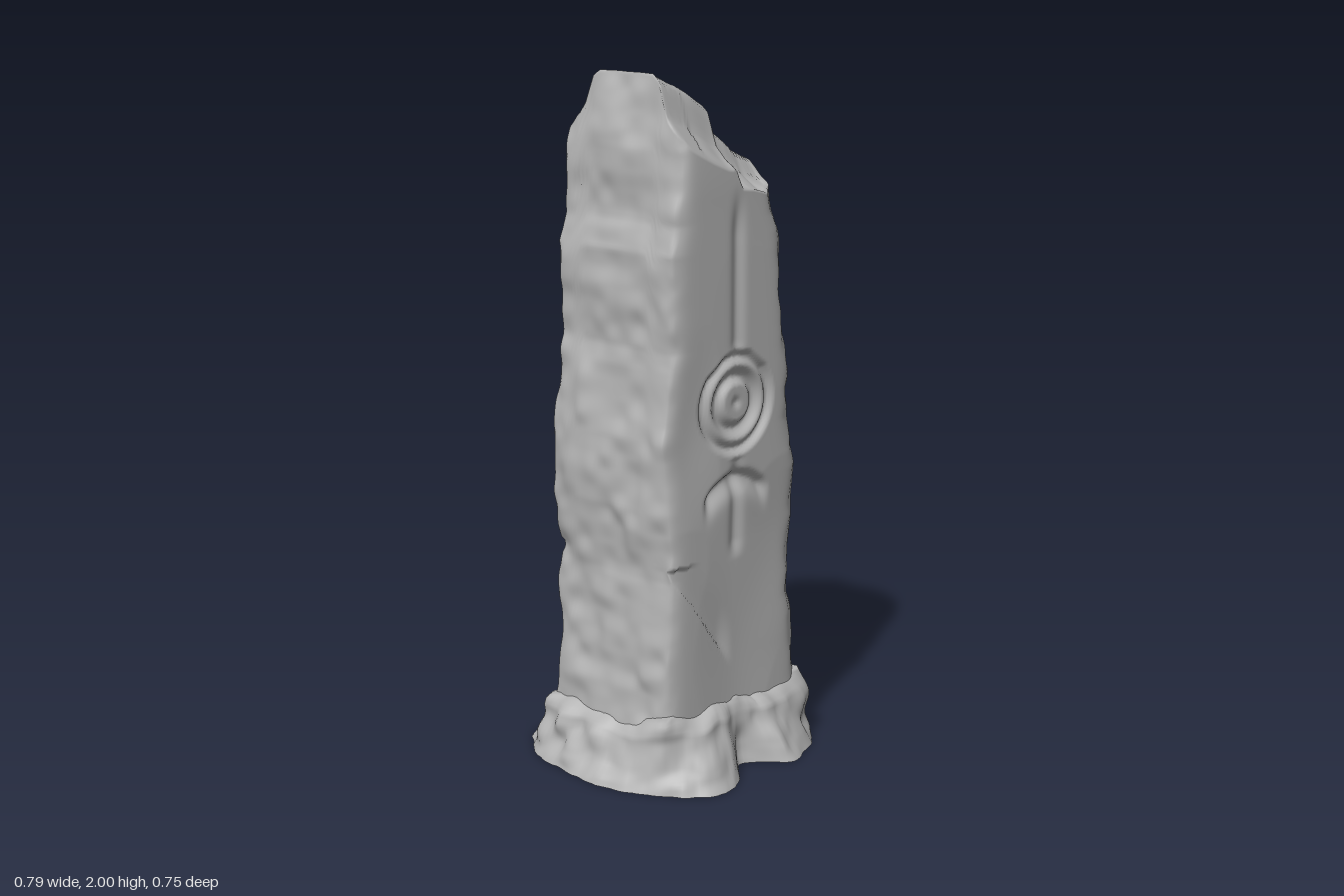
import * as THREE from 'three';

const { clamp, lerp, smoothstep } = THREE.MathUtils;

// Piecewise linear lookup through [key, value] pairs
function table(pairs, k) {
  if (k <= pairs[0][0]) return pairs[0][1];
  for (let i = 1; i < pairs.length; i++) {
    const [a, va] = pairs[i - 1], [b, vb] = pairs[i];
    if (k <= b) return lerp(va, vb, (k - a) / (b - a));
  }
  return pairs[pairs.length - 1][1];
}

// Smooth seeded value noise, 0..1
function hash(x, y, z) {
  const s = Math.sin(x * 127.1 + y * 311.7 + z * 74.7 + 3.1) * 43758.5453;
  return s - Math.floor(s);
}
function noise(x, y, z) {
  const i = Math.floor(x), j = Math.floor(y), k = Math.floor(z);
  const s = t => t * t * (3 - 2 * t);
  const u = s(x - i), v = s(y - j), w = s(z - k);
  const row = (b, c) => lerp(hash(i, b, c), hash(i + 1, b, c), u);
  const layer = c => lerp(row(j, c), row(j + 1, c), v);
  return lerp(layer(k), layer(k + 1), w);
}
const bump = (d, width) => Math.exp(-(d * d) / (width * width));

// Skin closed rings from bottom to top, with both ends closed
function loft(rings) {
  const n = rings[0].length, pos = [], index = [];
  rings.forEach(r => r.forEach(p => pos.push(p.x, p.y, p.z)));
  for (let i = 0; i < rings.length - 1; i++) {
    for (let j = 0; j < n; j++) {
      const a = i * n + j, b = i * n + (j + 1) % n;
      index.push(a, a + n, b, b, a + n, b + n);
    }
  }
  const cap = (ring, start, up) => {
    const c = pos.length / 3;
    const m = ring.reduce((s, p) => s.add(p), new THREE.Vector3()).divideScalar(n);
    pos.push(m.x, m.y, m.z);
    for (let j = 0; j < n; j++) {
      const a = start + j, b = start + (j + 1) % n;
      if (up) index.push(a, c, b); else index.push(a, b, c);
    }
  };
  cap(rings[rings.length - 1], (rings.length - 1) * n, true);
  // Separate rim so the underside stays flat and crisp
  const start = pos.length / 3;
  rings[0].forEach(p => pos.push(p.x, p.y, p.z));
  cap(rings[0], start, false);
  const g = new THREE.BufferGeometry();
  g.setAttribute('position', new THREE.Float32BufferAttribute(pos, 3));
  g.setIndex(index);
  g.computeVertexNormals();
  return g;
}

// Weathered outlines of the two narrow sides
const LEFT = [[0.17, -0.3], [0.4, -0.292], [0.6, -0.282], [0.8, -0.297], [1, -0.292], [1.2, -0.272],
  [1.25, -0.262], [1.4, -0.268], [1.52, -0.272], [1.6, -0.243], [1.8, -0.235], [2, -0.2]];
const RIGHT = [[0.17, 0.335], [0.4, 0.32], [0.46, 0.305], [0.6, 0.307], [0.7, 0.32], [0.85, 0.318], [0.91, 0.295],
  [1, 0.275], [1.1, 0.285], [1.25, 0.273], [1.4, 0.25], [1.55, 0.228], [1.6, 0.205], [1.7, 0.187], [1.75, 0.17]];
// Broken top: height along the width, and how far it falls towards front and back
const TOP = [[-0.2, 2], [-0.1, 1.955], [-0.01, 1.92], [0.015, 1.85], [0.05, 1.82], [0.1, 1.77], [0.17, 1.745]];
const DROP = [[0.1, 0], [0.13, 0.02], [0.16, 0.11], [0.24, 0.195]];
const topHeight = (x, z) =>
  table(TOP, x) - table(DROP, Math.abs(z)) * lerp(1, 0.5, smoothstep(x, -0.05, 0.15));

// Depth of the carving on the broad faces
function carving(x, y) {
  const dy = y - 1.08, r = Math.hypot(x, dy);
  let d = 0;
  // pointed socket with a raised ring, iris and pupil
  const lid = dy > 0 ? Math.max(r, (Math.abs(x) * 0.75 + dy) * 0.83) : r;
  d += 0.024 * (1 - smoothstep(lid, 0.128, 0.155));
  d -= 0.022 * bump(r - 0.108, 0.02);
  d -= 0.02 * (1 - smoothstep(r, 0.05, 0.075));
  d += 0.009 * bump(r, 0.014);
  // arched groove below the eye
  const fade = 1 - smoothstep(Math.abs(x), 0.1, 0.14);
  const arch = y - (0.865 - 3.6 * x * x);
  d += 0.022 * fade * (arch < 0 ? bump(arch, 0.04) : bump(arch, 0.015));
  // centre creases above and below
  const span = (a, b) => smoothstep(y, a, a + 0.06) * (1 - smoothstep(y, b - 0.15, b));
  d += 0.012 * bump(x, 0.022) * (span(1.2, 1.7) + span(0.62, 0.98) * (r > 0.16 ? 1 : 0));
  // slanting crack near the foot
  const crack = (y - 0.56) + 1.3 * (x + 0.21);
  if (y > 0.3 && y < 0.64) d += 0.012 * smoothstep(crack, -0.01, 0.015) * (1 - smoothstep(crack, 0.02, 0.16))
    * (1 - smoothstep(x, -0.07, -0.01));
  return d;
}

// Point of the slab for square coordinates sx, sz in -1..1 at height y
function slabPoint(sx, sz, y) {
  const side = sx > 0 ? 1 : -1, ax = Math.abs(sx), az = Math.abs(sz);
  const bulge = (side > 0 ? 0.05 : 0.022) * az ** 4;
  let x = sx > 0 ? sx * (table(RIGHT, y) - bulge) : -sx * (table(LEFT, y) + bulge);
  let z = sz * 0.24;
  const rough = 0.65 * noise(x * 9 + 20, y * 8, z * 9 + 7) + 0.35 * noise(x * 20, y * 19 + 5, z * 20);
  // chips in the narrow sides, with a notch running in from each corner
  const notch = side > 0 ? bump(y - (0.98 + 0.11 * az), 0.035) * smoothstep(az, 0.35, 0.6) : 0;
  x -= side * ax ** 6 * (0.042 * (rough - 0.3) + 0.015 * notch);
  // broad faces
  const facet = Math.max(0, noise(x * 5 + 4, y * 3 + 9, sz > 0 ? 1 : 6) - 0.35) * 0.022;
  const round = 0.016 * ax ** 10;
  z -= Math.sign(sz) * az ** 8 * (carving(x, y) + facet + round);
  return new THREE.Vector3(x, y, z);
}

function slabGeometry() {
  const square = [], SIDE = 34, FACE = 60, ROWS = 220, CAP = 22;
  for (let i = 0; i < SIDE; i++) square.push([1, -1 + 2 * i / SIDE]);
  for (let i = 0; i < FACE; i++) square.push([1 - 2 * i / FACE, 1]);
  for (let i = 0; i < SIDE; i++) square.push([-1, 1 - 2 * i / SIDE]);
  for (let i = 0; i < FACE; i++) square.push([-1 + 2 * i / FACE, -1]);
  const tops = square.map(([sx, sz]) => {
    const p = slabPoint(sx, sz, 1.78);
    return topHeight(p.x, p.z);
  });
  const rings = [];
  for (let i = 0; i <= ROWS; i++) {
    rings.push(square.map(([sx, sz], j) => slabPoint(sx, sz, lerp(0.02, tops[j], i / ROWS))));
  }
  for (let i = 1; i < CAP; i++) {
    const k = 1 - i / CAP;
    rings.push(square.map(([sx, sz], j) => {
      const p = slabPoint(sx, sz, tops[j]);
      p.x = lerp(-0.02, p.x, k);
      p.z *= k;
      const edge = smoothstep(i, 0, 4);
      p.y = topHeight(p.x, p.z) - 0.03 * edge * (noise(p.x * 11, 3, p.z * 11) - 0.3) * (p.x > -0.12 ? 1 : 0);
      return p;
    }));
  }
  return loft(rings);
}

// Spreading foot with a cleft at front and back
function footGeometry() {
  const outline = [[0.39, 0], [0.395, 0.06], [0.365, 0.17], [0.3, 0.28], [0.2, 0.335], [0.12, 0.36], [0.06, 0.3],
    [0, 0.26], [-0.04, 0.29], [-0.1, 0.345], [-0.2, 0.37], [-0.28, 0.32], [-0.33, 0.25], [-0.38, 0.15], [-0.4, 0.03],
    [-0.385, -0.1], [-0.36, -0.22], [-0.3, -0.3], [-0.25, -0.355], [-0.15, -0.365], [-0.05, -0.325], [0, -0.32],
    [0.05, -0.335], [0.1, -0.355], [0.2, -0.375], [0.28, -0.33], [0.34, -0.25], [0.36, -0.15], [0.375, -0.06]];
  const curve = new THREE.CatmullRomCurve3(outline.map(([x, z]) => new THREE.Vector3(x, 0, z)), true);
  const base = curve.getSpacedPoints(160).slice(0, 160);
  const profile = [[0, 1], [0.06, 0.72], [0.12, 0.5], [0.165, 0.36], [0.19, 0.12], [0.21, -0.3]];
  const rings = [];
  for (let i = 0; i <= 26; i++) {
    const h = 0.21 * i / 26;
    rings.push(base.map(p => {
      // nearest fit onto the slab's footprint
      const s = 1 / Math.max(Math.abs(p.x) / (p.x > 0 ? 0.315 : 0.295), Math.abs(p.z) / 0.237);
      const f = table(profile, h);
      const n = noise(p.x * 13 + 2, h * 15, p.z * 13) - 0.5;
      const k = lerp(Math.min(s, 1), 1, f) + 0.09 * n * smoothstep(h, 0, 0.05) + 0.02 * (noise(p.x * 45, h * 20, p.z * 45) - 0.5);
      const tall = 0.82 + 0.3 * noise(p.x * 7 + 11, 2, p.z * 7);
      return new THREE.Vector3(clamp(p.x * k, -0.4, 0.4), h * tall, p.z * k);
    }));
  }
  return loft(rings);
}

export function createModel() {
  const group = new THREE.Group();
  group.name = 'standingStone';
  const stone = new THREE.MeshStandardMaterial({ color: 0xb4b4b4 });
  stone.name = 'grey stone';
  const add = (name, geometry) => {
    const mesh = new THREE.Mesh(geometry, stone);
    mesh.name = name;
    group.add(mesh);
  };
  add('carvedSlab', slabGeometry());
  add('spreadingFoot', footGeometry());
  return group;
}
